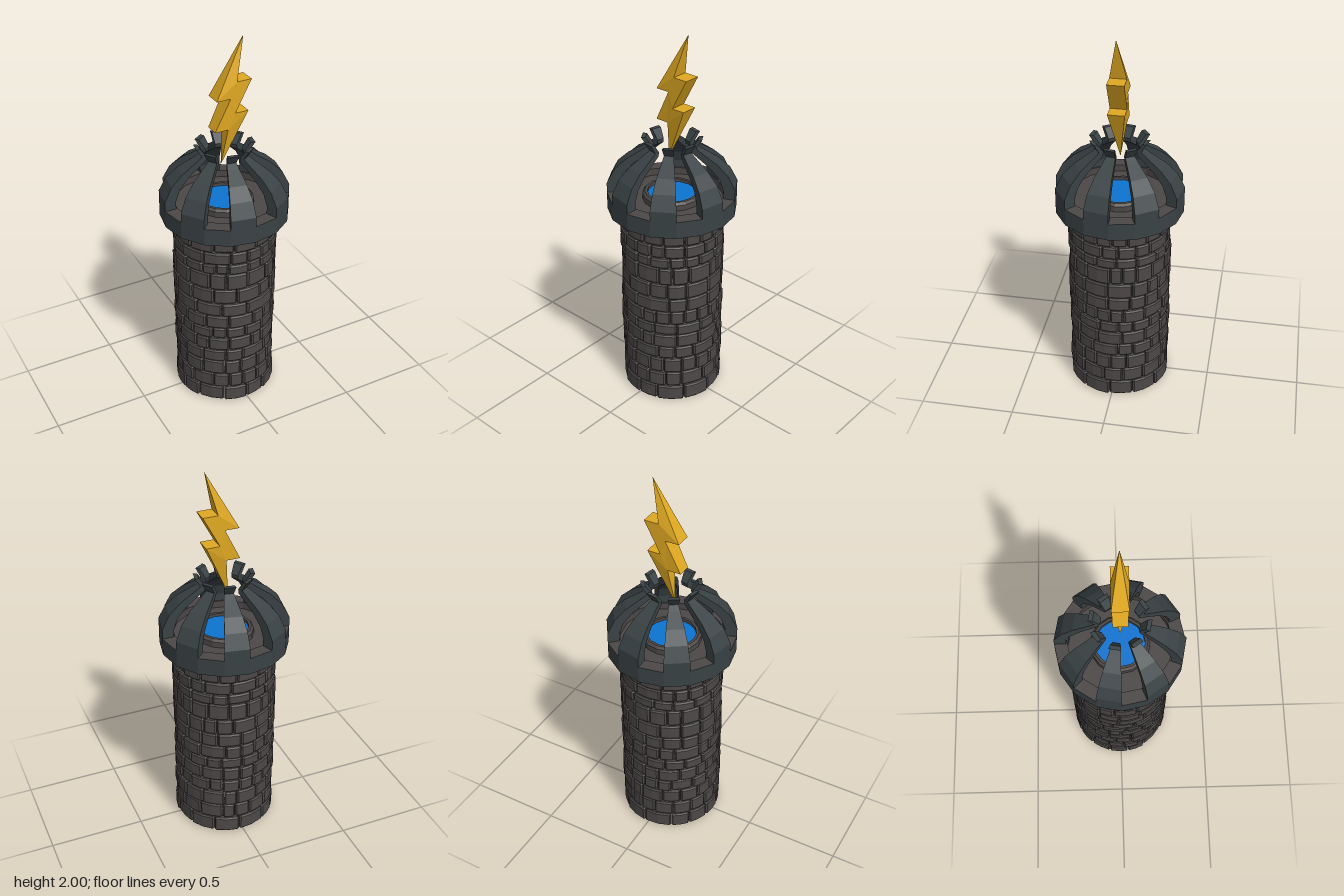
import * as THREE from 'three';
import { mergeGeometries } from 'three/addons/utils/BufferGeometryUtils.js';

const STEP = Math.PI / 8; // sixteen-sided crown
const V = (x, y) => new THREE.Vector2(x, y);
const material = (color) =>
  new THREE.MeshStandardMaterial({ color, flatShading: true, side: THREE.DoubleSide });

// small seeded generator for the irregular masonry
let seed = 7;
function rand() {
  seed = (seed * 16807) % 2147483647;
  return seed / 2147483647;
}

// curved, chamfered brick between two angles
function brick(a0, a1, y0, y1, inner, outer) {
  const c = 0.008;
  const pts = [];
  const at = (r, a) => pts.push(V(r * Math.cos(a), r * Math.sin(a)));
  const n = 2;
  const dOut = c / outer;
  at(outer - c, a0);
  for (let i = 0; i <= n; i++) at(outer, a0 + dOut + ((a1 - a0 - 2 * dOut) * i) / n);
  at(outer - c, a1);
  for (let i = 0; i <= n; i++) at(inner, a1 + ((a0 - a1) * i) / n);
  const geo = new THREE.ExtrudeGeometry(new THREE.Shape(pts), {
    depth: y1 - y0 - 2 * c,
    bevelEnabled: true, bevelSegments: 1, bevelThickness: c, bevelSize: c * 0.8, bevelOffset: -c * 0.8,
  });
  geo.rotateX(-Math.PI / 2);
  geo.translate(0, y0 + c, 0);
  return geo;
}

function brickRow(y0, y1) {
  const count = 13 + Math.floor(rand() * 5);
  const start = rand() * Math.PI;
  const widths = Array.from({ length: count }, () => 0.65 + rand() * 0.7);
  const total = widths.reduce((s, w) => s + w, 0);
  const bricks = [];
  let a = start;
  for (const w of widths) {
    const span = (w / total) * Math.PI * 2;
    bricks.push(brick(a + 0.006, a + span - 0.006, y0 + 0.002, y1 - 0.002, 0.19, 0.263 + rand() * 0.01));
    a += span;
  }
  return mergeGeometries(bricks);
}

// wedge-shaped rib: a closed profile swept over one sector, with flat sides
function rib(phi, profile) {
  const sweep = new THREE.LatheGeometry([...profile, profile[0]], 1, phi, STEP);
  const sides = [phi, phi + STEP].map((p) =>
    new THREE.ShapeGeometry(new THREE.Shape(profile)).rotateY(p - Math.PI / 2));
  return mergeGeometries([sweep, ...sides]);
}

// lightning bolt: outline extruded, thickness shrinking towards both tips
function boltGeometry() {
  const outline = [
    V(0.1, 2.0), V(-0.063, 1.705), V(0.012, 1.705), V(-0.07, 1.54), V(0.002, 1.54),
    V(-0.02, 1.34), V(0.11, 1.625), V(0.038, 1.625), V(0.126, 1.788), V(0.047, 1.788),
  ];
  const geo = new THREE.ExtrudeGeometry(new THREE.Shape(outline), { depth: 1, bevelEnabled: false });
  const pos = geo.attributes.position;
  for (let i = 0; i < pos.count; i++) {
    const y = pos.getY(i);
    const half = y > 1.8 || y < 1.4 ? 0.001 : y < 1.6 ? 0.037 : 0.043;
    pos.setZ(i, pos.getZ(i) > 0.5 ? half : -half);
  }
  geo.computeVertexNormals();
  return geo;
}

export function createModel() {
  const model = new THREE.Group();
  const stone = material(0x4d4848);
  const slate = material(0x3a4245);
  const water = material(0x0d74d1);
  const gold = material(0xe0a922);
  const add = (name, geo, mat, parent = model) => {
    const mesh = new THREE.Mesh(geo, mat);
    mesh.name = name;
    parent.add(mesh);
    return mesh;
  };

  // hollow masonry shaft
  const shaft = new THREE.Group();
  shaft.name = 'brickShaft';
  model.add(shaft);
  const levels = [0, 0.092, 0.182, 0.272, 0.347, 0.427, 0.493, 0.572, 0.652, 0.74, 0.838, 0.897, 0.968, 1.06];
  for (let i = 0; i < levels.length - 1; i++) {
    add('brickRow', brickRow(levels[i], levels[i + 1]), stone, shaft);
  }

  // crown ring, its paved top and the basin rim
  add('crownRing', new THREE.LatheGeometry(
    [V(0.19, 1.057), V(0.333, 1.057), V(0.333, 1.148)], 16), slate);
  add('crownFloor', new THREE.LatheGeometry(
    [V(0.333, 1.148), V(0.265, 1.148), V(0.265, 1.11), V(0.153, 1.11), V(0.153, 1.14),
      V(0.141, 1.152), V(0.127, 1.152), V(0.127, 1.12)].reverse(), 16), stone);
  add('water', new THREE.CircleGeometry(0.128, 16).rotateX(-Math.PI / 2).translate(0, 1.135, 0), water);
  add('basinUnderside', new THREE.CircleGeometry(0.2, 16).rotateX(Math.PI / 2).translate(0, 1.06, 0), stone);

  // eight curved ribs with flared tips
  const profile = [
    V(0.333, 1.148), V(0.333, 1.2), V(0.295, 1.275), V(0.235, 1.332), V(0.155, 1.382), V(0.125, 1.402),
    V(0.155, 1.45), V(0.133, 1.45), V(0.098, 1.4), V(0.102, 1.378), V(0.2, 1.305), V(0.25, 1.25), V(0.272, 1.19),
    V(0.272, 1.148),
  ];
  const ribs = new THREE.Group();
  ribs.name = 'crownRibs';
  model.add(ribs);
  for (let k = 0; k < 8; k++) add('rib', rib(STEP * (2 * k + 1), profile), slate, ribs);

  // floating bolt
  add('lightningBolt', boltGeometry(), gold);
  return model;
}
